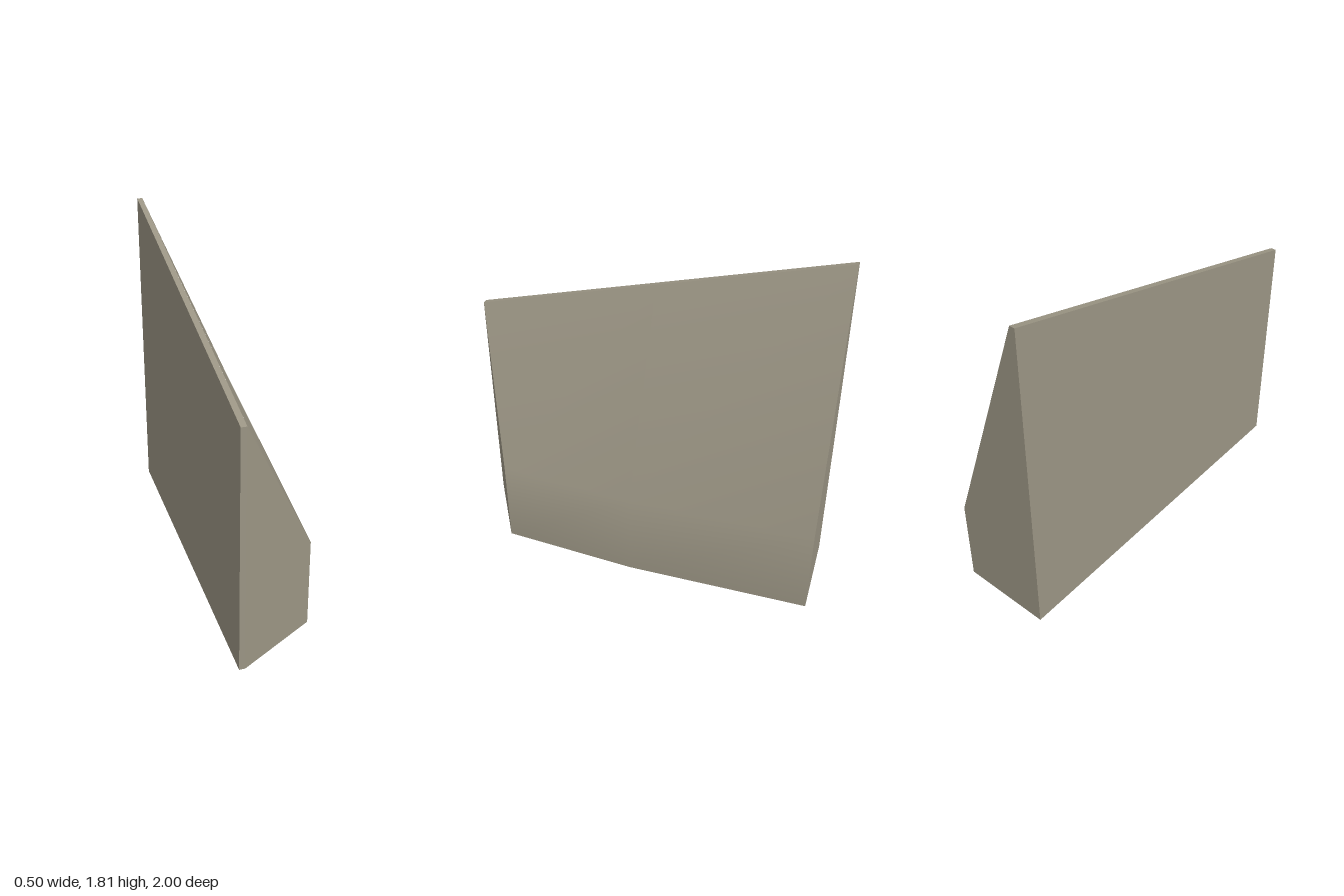
import * as THREE from 'three';

const INNER = -0.25; // flat inner side
const LIP = -0.22;   // outer edge of the narrow top lip

export function createModel() {
  const group = new THREE.Group();
  const stone = new THREE.MeshStandardMaterial({ color: 0x9b9584 });
  stone.name = 'stone';

  function addPart(name, points, index, flat) {
    let geometry = new THREE.BufferGeometry();
    geometry.setAttribute('position', new THREE.Float32BufferAttribute(points.flat(), 3));
    geometry.setIndex(index);
    if (flat) geometry = geometry.toNonIndexed();
    geometry.computeVertexNormals();
    const mesh = new THREE.Mesh(geometry, stone);
    mesh.name = name;
    group.add(mesh);
  }

  // A flat polygon, corners counter-clockwise from outside
  function addFace(name, points) {
    const index = [];
    for (let i = 1; i < points.length - 1; i++) index.push(0, i, i + 1);
    addPart(name, points, index, true);
  }

  // Cross-sections from front to back: foot, shoulder and crest
  const sections = [
    { x: 0.19, z: 0.76, crestZ: 1, crestY: 1.295 },
    { x: 0.25, z: 0, crestZ: 0, crestY: 1.553 },
    { x: 0.25, z: -1, crestZ: -1, crestY: 1.81 },
  ].map((s) => [[s.x, 0, s.z], [s.x, 0.485, s.z], [LIP, s.crestY, s.crestZ]]);
  const [front, , back] = sections;

  // Smooth outer wall blending into the sloping side
  const index = [];
  for (let s = 0; s < 2; s++) {
    const a = s * 3, b = a + 3;
    index.push(a, b, b + 1, a, b + 1, a + 1);
    index.push(a + 1, b + 1, b + 2, a + 1, b + 2, a + 2);
  }
  // The rear slope folds the other way
  index.splice(18, 6, 4, 7, 8, 4, 8, 5);
  addPart('slopingSide', sections.flat(), index, false);

  // Slanted front end and its narrow square edge
  const frontTop = [INNER, 1.295, 1], backTop = [INNER, 1.81, -1];
  const frontFoot = [INNER, 0, 1], backFoot = [INNER, 0, -1], lipFoot = [LIP, 0, 1];
  addFace('frontEnd', [lipFoot, front[0], front[1], front[2]]);
  addFace('frontEdge', [frontFoot, lipFoot, front[2], frontTop]);

  // Back end, inner side, top lip and underside
  addFace('backEnd', [backFoot, backTop, back[2], back[1], back[0]]);
  addFace('innerSide', [backFoot, frontFoot, frontTop, backTop]);
  addFace('topLip', [frontTop, front[2], back[2], backTop]);
  addFace('underside', [backFoot, back[0], sections[1][0], front[0], lipFoot, frontFoot]);

  return group;
}
